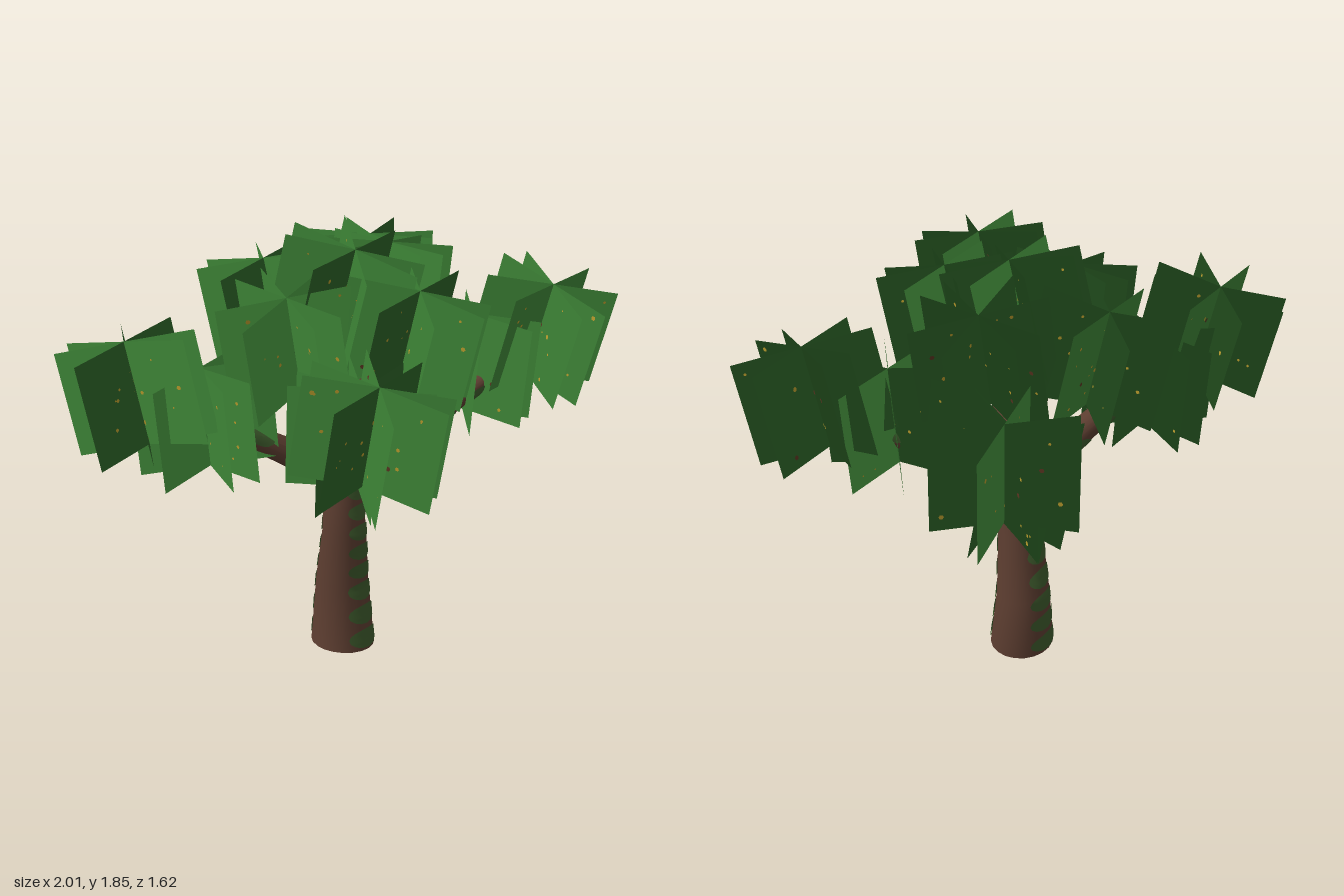
import * as THREE from 'three';
import { mergeGeometries } from 'three/addons/utils/BufferGeometryUtils.js';

const mat = (name, color, side = THREE.DoubleSide) => {
  const m = new THREE.MeshStandardMaterial({ color, side });
  m.name = name;
  return m;
};
const UP = new THREE.Vector3(0, 1, 0);

export function createModel() {
  const bark = mat('bark', 0x5c3d30);
  const moss = mat('moss', 0x3d5a2c);
  const leaf = mat('leaf green', 0x33702d);
  const yellow = mat('blossom yellow', 0xb89a2c);
  const brown = mat('seed brown', 0x5a3420);

  const tree = new THREE.Group();
  tree.name = 'tree';
  const add = (parent, name, geometry, material) => {
    const mesh = new THREE.Mesh(geometry, material);
    mesh.name = name;
    parent.add(mesh);
    return mesh;
  };

  let seed = 7;
  const rand = () => (seed = (seed * 16807) % 2147483647) / 2147483647;

  // A tapering limb through rings [x, y, z, radius], with two rows of moss spots
  function limb(name, rings, axis, spots, spotHeight, open) {
    const group = new THREE.Group();
    group.name = name;
    const q = new THREE.Quaternion().setFromUnitVectors(UP, axis.clone().normalize());
    const n = rings.length - 1;
    const surface = (t, sx, sz, lift) => {
      const k = Math.min(Math.floor(t * n), n - 1), f = t * n - k;
      const [x, y, z, r] = rings[k].map((v, i) => v + (rings[k + 1][i] - v) * f);
      const len = Math.hypot(sx, sz);
      const s = len > 0 ? r + lift / len : 0;
      return new THREE.Vector3(sx * s, 0, sz * s).applyQuaternion(q).add(new THREE.Vector3(x, y, z));
    };
    const warp = (geometry, fn) => {
      const p = geometry.attributes.position;
      for (let i = 0; i < p.count; i++) {
        const v = fn(p.getX(i), p.getY(i), p.getZ(i));
        p.setXYZ(i, v.x, v.y, v.z);
      }
      geometry.computeVertexNormals();
      return geometry;
    };
    const body = warp(new THREE.CylinderGeometry(1, 1, 1, 20, n, open),
      (x, y, z) => surface(Math.min(Math.max(y + 0.5, 0), 1), x, z, 0));
    add(group, name + 'Bark', body, bark);

    const patches = [];
    for (const side of [0, Math.PI]) {
      for (let i = 0; i < spots; i++) {
        const t = (i + 0.5) / spots;
        patches.push(warp(new THREE.RingGeometry(0.01, 1, 16, 3), (x, y) => {
          const a = side + x * 0.75;
          return surface(Math.min(Math.max(t + y * spotHeight, 0), 1), Math.sin(a), Math.cos(a), 0.004);
        }));
      }
    }
    add(group, name + 'Moss', mergeGeometries(patches), moss);
    tree.add(group);
  }

  // Crooked trunk, open underneath
  limb('trunk', [
    [-0.02, 0.018, -0.045, 0.134],
    [0.005, 0.3, -0.065, 0.11],
    [-0.045, 0.57, -0.018, 0.09],
    [-0.025, 0.8, -0.04, 0.078],
  ], new THREE.Vector3(0.1, 1, 0), 8, 0.05, true);

  // Branches spreading from the top of the trunk
  const fork = [-0.02, 0.8, -0.035];
  [
    ['frontRightBranch', [-0.44, 1.16, 0.37]],
    ['frontLeftBranch', [0.6, 1.27, 0.45]],
    ['backLeftBranch', [0.68, 1.3, -0.38]],
    ['backRightBranch', [-0.66, 1.28, -0.45]],
    ['middleBranch', [-0.02, 1.45, -0.15]],
  ].forEach(([name, tip]) => {
    const axis = new THREE.Vector3(...tip).sub(new THREE.Vector3(...fork));
    limb(name, [[...fork, 0.07], [...tip, 0.028]], axis, 5, 0.07, false);
  });

  // Leaf card, with normals bent skyward for soft foliage shading
  const W = 0.55, H = 0.42;
  const cardGeometry = new THREE.PlaneGeometry(W, H);
  for (let i = 0; i < 4; i++) cardGeometry.attributes.normal.setXYZ(i, 0, 0.7, 0.714);

  // Leaf cluster: four crossed cards around a leaning axis, sprinkled with specks
  const turns = [0, 45, 97, 122];
  function leafCluster([x, y, z, leanX, leanZ, yaw, mirror]) {
    const cluster = new THREE.Group();
    cluster.name = 'leafCluster';
    cluster.position.set(x, y, z);
    cluster.quaternion.setFromUnitVectors(UP, new THREE.Vector3(leanX, 1, leanZ).normalize());
    for (const turn of turns) {
      const angle = THREE.MathUtils.degToRad(yaw + (mirror ? -turn : turn + 180));
      const card = add(cluster, 'leafCard', cardGeometry, leaf);
      card.rotation.y = angle;
      const specks = { yellow: [], brown: [] };
      for (let i = 0; i < 8; i++) {
        const sx = (rand() - 0.5) * W * 0.85, sy = (rand() - 0.5) * H * 0.85;
        for (const off of [-0.003, 0.003]) {
          specks[i < 7 ? 'yellow' : 'brown'].push(
            new THREE.CircleGeometry(0.004 + 0.002 * (i % 4), 6).translate(sx, sy, off));
        }
      }
      add(card, 'blossoms', mergeGeometries(specks.yellow), yellow);
      add(card, 'seeds', mergeGeometries(specks.brown), brown);
    }
    tree.add(cluster);
  }

  // Position, lean in x and z, turn in degrees, mirrored or not
  [
    // outer
    [-0.73, 1.31, -0.5, -0.04, -0.22, 0, false],
    [-0.61, 1.35, 0.5, 0.0, 0.18, 0, false],
    [0.63, 1.35, 0.48, 0.03, 0.25, -3, true],
    [0.72, 1.34, -0.42, 0.04, -0.03, 12, false],
    // middle ring
    [-0.5, 1.16, -0.36, -0.04, -0.06, 0, true],
    [-0.42, 1.22, 0.32, -0.05, 0.08, 0, false],
    [0.42, 1.23, 0.27, 0.06, 0.06, -7, false],
    [0.51, 1.19, -0.3, 0.05, -0.22, 8, true],
    // crown
    [-0.02, 1.46, -0.38, -0.05, -0.2, 0, false],
    [-0.02, 1.48, 0.27, 0.0, 0.24, 0, false],
    [-0.29, 1.46, -0.08, -0.2, 0.0, 0, true],
    [0.28, 1.5, -0.06, 0.2, 0.0, 3, true],
    [-0.01, 1.58, -0.04, 0.0, 0.26, 0, false],
  ].forEach(leafCluster);

  return tree;
}
